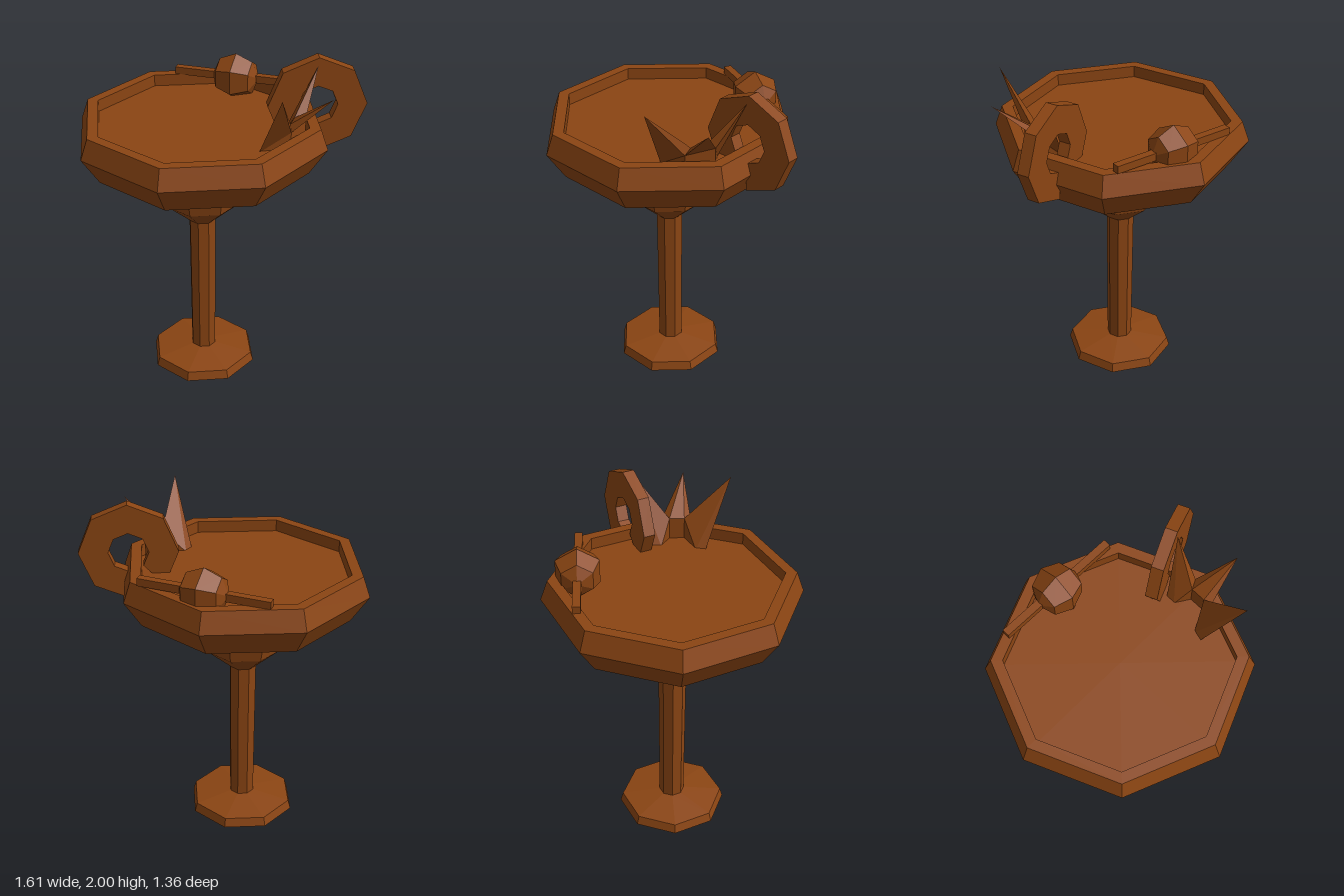
import * as THREE from 'three';

const brown = new THREE.MeshStandardMaterial({ color: 0x8b4513, flatShading: true });
const brownDouble = brown.clone();
brownDouble.side = THREE.DoubleSide;

const AXIS_X = -0.13;

function add(group, name, geometry, material = brown) {
  const mesh = new THREE.Mesh(geometry, material);
  mesh.name = name;
  group.add(mesh);
  return mesh;
}

// Eight-sided turned part; the profile gives [distance to flat side, height]
function octagonLathe(profile) {
  const k = 1 / Math.cos(Math.PI / 8);
  const points = profile.map(([r, y]) => new THREE.Vector2(r * k, y));
  return new THREE.LatheGeometry(points, 8, Math.PI / 8);
}

// Octagonal ring with the lower inner segment cut away
function citrusSlice(outer, inner, depth) {
  const shape = new THREE.Shape();
  const at = (i, r) => [r * Math.cos(i * Math.PI / 4), r * Math.sin(i * Math.PI / 4)];
  shape.moveTo(...at(-2, outer));
  for (let i = -1; i <= 5; i++) shape.lineTo(...at(i, outer));
  for (let i = 5; i >= -2; i--) shape.lineTo(...at(i, inner));
  shape.closePath();
  return new THREE.ExtrudeGeometry(shape, { depth, bevelEnabled: false });
}

// Folded crown of pointed leaves, joined at the valleys between them
function leafCrown() {
  const inside = [[0.19, 1.58, 0.31], [0.33, 1.72, 0.305], [0.365, 1.72, 0.225], [0.31, 1.58, 0.145]];
  const outside = [[0.155, 1.58, 0.355], [0.33, 1.69, 0.35], [0.43, 1.72, 0.22], [0.33, 1.58, 0.095]];
  const tips = [[0.245, 1.97, 0.56], [0.545, 1.9, 0.405], [0.515, 1.96, 0.075]];
  const drop = ([x, , z]) => [x, 1.57, z];
  const positions = [];
  const tri = (...corners) => corners.forEach((c) => positions.push(...c));
  tips.forEach((tip, i) => {
    const [a, b, c, d] = [inside[i], inside[i + 1], outside[i], outside[i + 1]];
    tri(b, a, tip);
    tri(c, d, tip);
    tri(a, c, tip);
    tri(d, b, tip);
    // Walls down into the drink
    tri(a, b, drop(b));
    tri(a, drop(b), drop(a));
    tri(d, c, drop(c));
    tri(d, drop(c), drop(d));
  });
  const geometry = new THREE.BufferGeometry();
  geometry.setAttribute('position', new THREE.Float32BufferAttribute(positions, 3));
  geometry.computeVertexNormals();
  return geometry;
}

export function createModel() {
  const model = new THREE.Group();
  model.name = 'cocktail';

  // Glass
  const glass = new THREE.Group();
  glass.name = 'glass';
  glass.position.x = AXIS_X;
  model.add(glass);
  add(glass, 'foot', octagonLathe([[0, 0], [0.3, 0], [0.285, 0.055], [0.07, 0.085]]));
  add(glass, 'stem', octagonLathe([[0.07, 0.085], [0.075, 0.985]]));
  add(glass, 'bowl', octagonLathe([
    [0.075, 0.985], [0.21, 1.115], [0.245, 1.28], [0.585, 1.38],
    [0.68, 1.54], [0.64, 1.66], [0.58, 1.66], [0.58, 1.59],
  ]));
  add(glass, 'drink', octagonLathe([[0.58, 1.59], [0, 1.59]]));

  // Citrus slice hung over the rim
  add(model, 'citrusSlice', citrusSlice(0.283, 0.115, 0.07)).position.set(0.52, 1.718, 0);

  // Leaves
  add(model, 'leaves', leafCrown(), brownDouble);

  // Cherry on a pick
  const garnish = new THREE.Group();
  garnish.name = 'cherryPick';
  garnish.position.set(0.115, 1.685, -0.465);
  garnish.rotation.y = -Math.atan2(0.3, 0.68);
  model.add(garnish);
  const pick = add(garnish, 'pick', new THREE.BoxGeometry(0.76, 0.045, 0.045));
  pick.rotation.z = 0.015;
  add(garnish, 'cherry', new THREE.SphereGeometry(0.143, 6, 4)).rotation.z = Math.PI / 2;

  return model;
}
